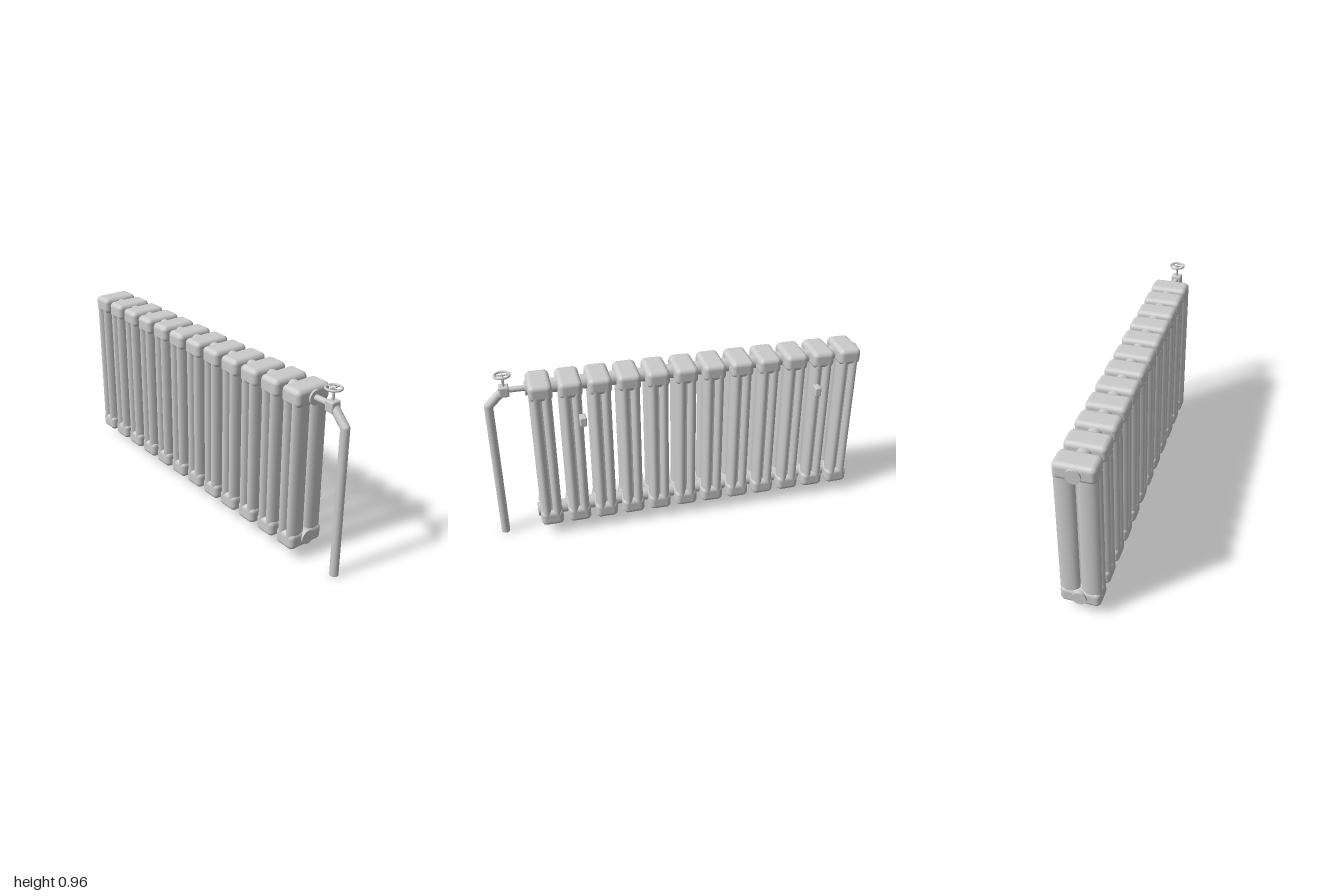
import * as THREE from 'three';
import { RoundedBoxGeometry } from 'three/addons/geometries/RoundedBoxGeometry.js';

const grey = new THREE.MeshStandardMaterial({ color: 0xcccccc });
const Z = 0.03; // depth of the radiator's centre plane

function add(parent, name, geometry, x = 0, y = 0, z = 0) {
  const mesh = new THREE.Mesh(geometry, grey);
  mesh.name = name;
  mesh.position.set(x, y, z);
  parent.add(mesh);
  return mesh;
}

// Straight round bar between two points
function bar(parent, name, a, b, radius, sides = 20) {
  const from = new THREE.Vector3(...a), to = new THREE.Vector3(...b);
  const dir = to.clone().sub(from);
  const mesh = add(parent, name, new THREE.CylinderGeometry(radius, radius, dir.length(), sides));
  mesh.position.copy(from).add(to).multiplyScalar(0.5);
  mesh.quaternion.setFromUnitVectors(new THREE.Vector3(0, 1, 0), dir.normalize());
  return mesh;
}

export function createModel() {
  const radiator = new THREE.Group();
  radiator.name = 'radiator';

  // Shared geometry of one section
  const capGeometry = new RoundedBoxGeometry(0.12, 0.09, 0.205, 4, 0.026);
  const columnGeometry = new THREE.CylinderGeometry(1, 1, 0.73, 20);
  columnGeometry.scale(0.027, 1, 0.05);
  const webGeometry = new THREE.BoxGeometry(0.016, 0.73, 0.15);

  // Twelve sections: two headers joined by four oval columns and a web
  for (let i = 0; i < 12; i++) {
    const section = new THREE.Group();
    section.name = 'section' + (i + 1);
    section.position.set(-0.93 + i * 0.15, 0, Z);
    add(section, 'topHeader', capGeometry, 0, 0.873, 0);
    add(section, 'bottomHeader', capGeometry, 0, 0.105, 0);
    for (const sx of [-1, 1]) {
      for (const sz of [-1, 1]) {
        add(section, 'column', columnGeometry, sx * 0.028, 0.49, sz * 0.054);
      }
    }
    add(section, 'web', webGeometry, 0, 0.49, 0);
    radiator.add(section);
  }

  // Horizontal connecting pipes with their ends showing as plugs
  bar(radiator, 'topConnector', [-1, 0.868, Z], [0.79, 0.868, Z], 0.037, 24);
  bar(radiator, 'bottomConnector', [-1, 0.112, Z], [0.79, 0.112, Z], 0.037, 24);

  // Valve with stem and hand wheel
  const valve = new THREE.Group();
  valve.name = 'valve';
  radiator.add(valve);
  bar(valve, 'inletPipe', [0.78, 0.87, Z], [0.89, 0.87, Z], 0.015);
  add(valve, 'valveBody', new RoundedBoxGeometry(0.05, 0.055, 0.055, 2, 0.008), 0.893, 0.868, Z);
  bar(valve, 'stem', [0.893, 0.88, Z], [0.893, 0.958, Z], 0.007, 12);
  const wheel = add(valve, 'handWheel', new THREE.TorusGeometry(0.038, 0.006, 10, 32), 0.893, 0.954, Z);
  wheel.rotation.x = Math.PI / 2;
  bar(valve, 'spoke', [0.855, 0.954, Z], [0.931, 0.954, Z], 0.004, 8);
  bar(valve, 'spoke', [0.893, 0.954, Z - 0.038], [0.893, 0.954, Z + 0.038], 0.004, 8);

  // Supply pipe bending down to the floor
  const elbow = [0.977, 0.79, Z];
  bar(radiator, 'slantedPipe', [0.905, 0.862, Z], elbow, 0.0225);
  add(radiator, 'elbow', new THREE.SphereGeometry(0.0225, 20, 12), ...elbow);
  bar(radiator, 'supplyPipe', elbow, [0.977, 0, Z], 0.0225);

  // Wall brackets behind the sections
  for (const x of [-0.735, 0.525]) {
    add(radiator, 'wallBracket', new RoundedBoxGeometry(0.034, 0.052, 0.052, 2, 0.007), x, 0.721, -0.107);
  }

  return radiator;
}
